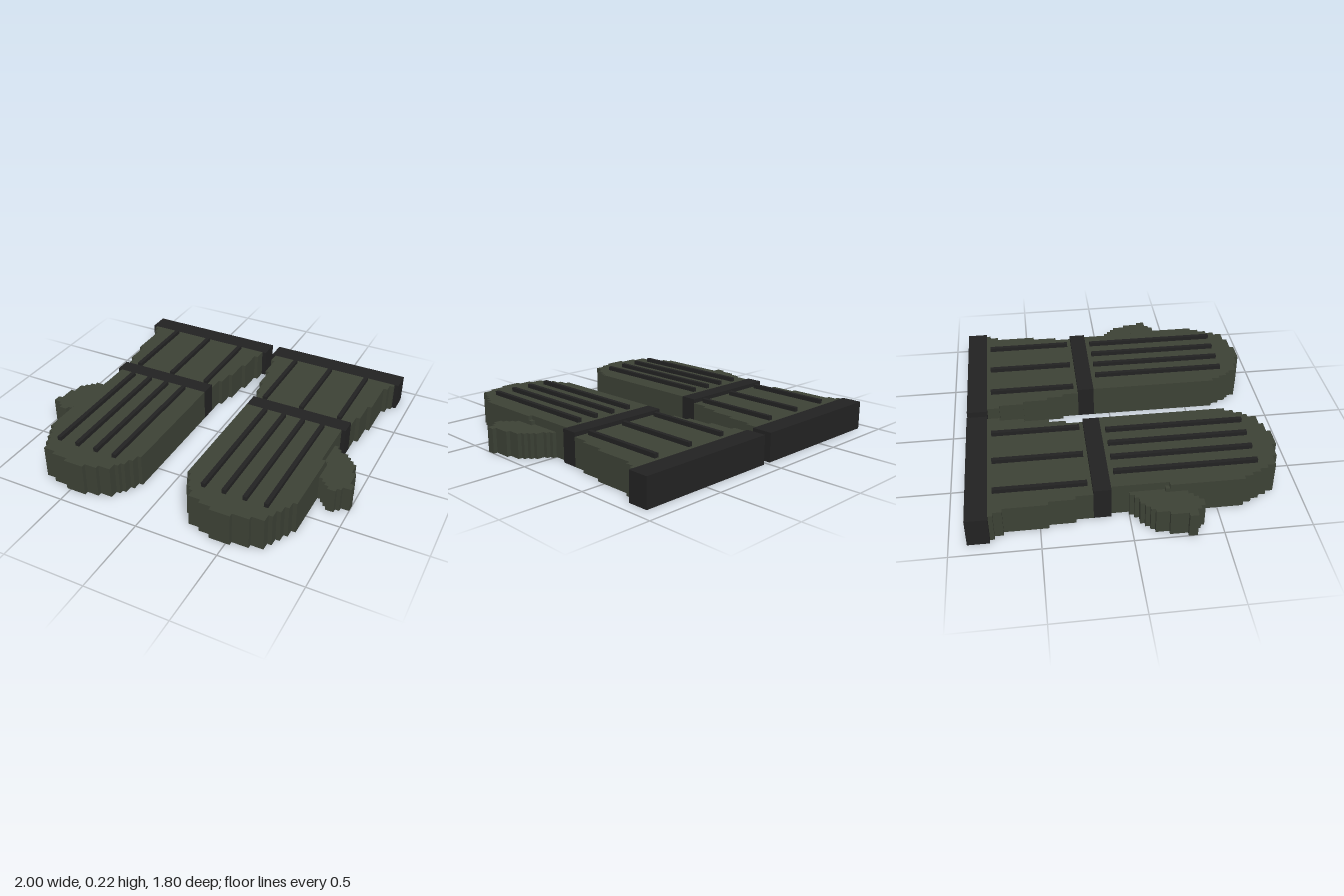
import * as THREE from 'three';

const material = (name, color) => {
  const m = new THREE.MeshStandardMaterial({ color });
  m.name = name;
  return m;
};

// Stepped outlines: each row is [z end, inner x, outer x], running on from the row before.
const CUFF = [
  [-0.75, 0.05, 0.9], [-0.7, 0.05, 0.875], [-0.55, 0.075, 0.85], [-0.45, 0.1, 0.85],
  [-0.4, 0.1, 0.825], [-0.3, 0.125, 0.825], [-0.2, 0.15, 0.8],
];
const HAND = [
  [0.225, 0.15, 0.775], [0.65, 0.15, 0.8], [0.675, 0.15, 0.775], [0.7, 0.175, 0.775],
  [0.725, 0.175, 0.75], [0.75, 0.2, 0.75], [0.775, 0.2, 0.725], [0.8, 0.225, 0.725],
  [0.85, 0.25, 0.7], [0.875, 0.325, 0.625], [0.9, 0.4, 0.525],
];
const THUMB = [
  [0.025, 0.775, 0.8], [0.05, 0.775, 0.825], [0.075, 0.775, 0.875], [0.1, 0.775, 0.9],
  [0.125, 0.775, 0.925], [0.2, 0.775, 0.95], [0.225, 0.775, 0.975], [0.3, 0.8, 0.975],
  [0.325, 0.8, 1], [0.35, 0.825, 1], [0.375, 0.85, 0.95], [0.4, 0.875, 0.925],
];

// Extrude a stepped outline upwards from the ground.
function steppedSlab(rows, zStart, height, side) {
  const inner = [], outer = [];
  let z = zStart;
  for (const [zEnd, x0, x1] of rows) {
    inner.push([x0, z], [x0, zEnd]);
    outer.push([x1, z], [x1, zEnd]);
    z = zEnd;
  }
  const points = [...inner, ...outer.reverse()]
    .map(([x, pz]) => new THREE.Vector2(side * x, -pz))
    .filter((p, i, all) => i === 0 || p.distanceTo(all[i - 1]) > 1e-6);
  const geometry = new THREE.ExtrudeGeometry(new THREE.Shape(points), { depth: height, bevelEnabled: false });
  return geometry.rotateX(-Math.PI / 2);
}

// Box given by its limits on each axis.
function boxBetween(x0, x1, y0, y1, z0, z1, side) {
  return new THREE.BoxGeometry(x1 - x0, y1 - y0, z1 - z0)
    .translate(side * (x0 + x1) / 2, (y0 + y1) / 2, (z0 + z1) / 2);
}

function createGlove(side, fabric, trim) {
  const glove = new THREE.Group();
  glove.name = side > 0 ? 'leftGlove' : 'rightGlove';
  const add = (name, geometry, mat) => {
    const mesh = new THREE.Mesh(geometry, mat);
    mesh.name = name;
    glove.add(mesh);
  };

  // Fabric body
  add('cuff', steppedSlab(CUFF, -0.775, 0.175, side), fabric);
  add('hand', steppedSlab(HAND, -0.1, 0.2, side), fabric);
  add('thumb', steppedSlab(THUMB, 0, 0.15, side), fabric);
  add('thumbJoint', boxBetween(0.775, 0.8, 0, 0.175, 0.2, 0.225, side), fabric);

  // Dark bands
  add('cuffHem', boxBetween(0.025, 0.925, 0, 0.175, -0.9, -0.775, side), trim);
  add('wristBand', boxBetween(0.15, 0.8, 0, 0.2, -0.2, -0.1, side), trim);

  // Raised ribs
  for (const x of [0.2, 0.45, 0.7])
    add('cuffRib', boxBetween(x, x + 0.025, 0.175, 0.2, -0.75, -0.225, side), trim);
  for (const x of [0.275, 0.4, 0.525, 0.65])
    add('handRib', boxBetween(x, x + 0.025, 0.2, 0.225, -0.075, 0.75, side), trim);
  return glove;
}

export function createModel() {
  const model = new THREE.Group();
  model.name = 'gloves';
  const fabric = material('olive fabric', 0x3c4135);
  const trim = material('black trim', 0x222222);
  for (const side of [1, -1]) model.add(createGlove(side, fabric, trim));
  return model;
}
